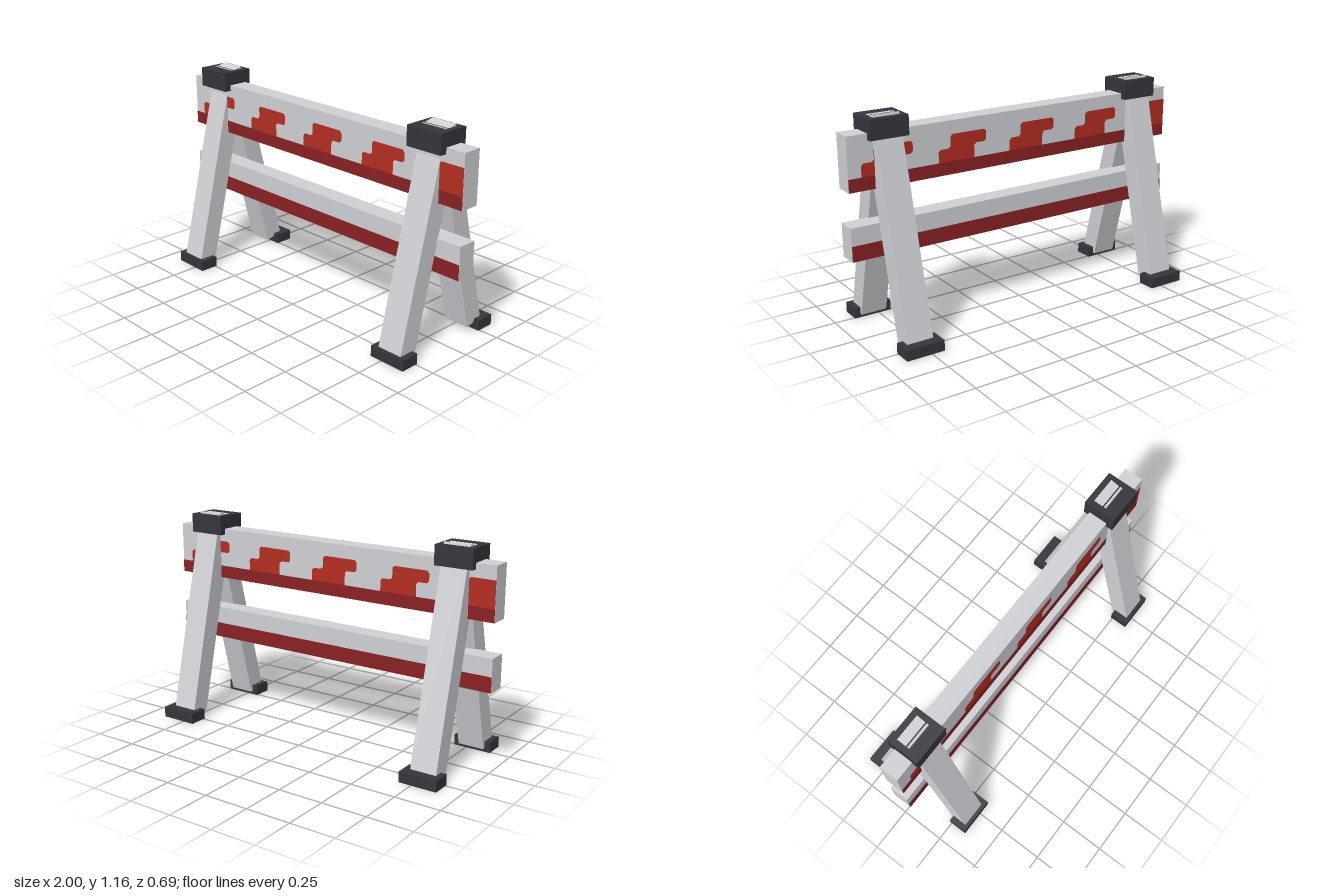
import * as THREE from 'three';

const mat = (name, color) => {
  const m = new THREE.MeshStandardMaterial({ color });
  m.name = name;
  return m;
};

export function createModel() {
  const grey = mat('light grey', 0xcfd1d5);
  const dark = mat('charcoal', 0x36353c);
  const deepRed = mat('deep red', 0x8a2123);
  const red = mat('bright red', 0xb52d22);

  const model = new THREE.Group();
  model.name = 'barricade';

  const box = (name, size, pos, material, tilt = 0, parent = model) => {
    const mesh = new THREE.Mesh(new THREE.BoxGeometry(...size), material);
    mesh.name = name;
    mesh.position.set(...pos);
    mesh.rotation.x = tilt;
    parent.add(mesh);
    return mesh;
  };

  // Trestles: two leaning legs, a foot under each, a cap on top
  const lean = THREE.MathUtils.degToRad(14);
  for (const side of [-1, 1]) {
    const trestle = new THREE.Group();
    trestle.name = side > 0 ? 'leftTrestle' : 'rightTrestle';
    trestle.position.x = side * 0.785;
    model.add(trestle);
    box('frontLeg', [0.145, 1.138, 0.105], [0, 0.583, 0.141], grey, -lean, trestle);
    box('backLeg', [0.145, 1.138, 0.106], [0, 0.592, -0.102], grey, lean, trestle);
    box('frontFoot', [0.21, 0.058, 0.105], [0, 0.029, 0.293], dark, 0, trestle);
    box('backFoot', [0.21, 0.058, 0.105], [0, 0.029, -0.293], dark, 0, trestle);
    box('cap', [0.21, 0.105, 0.178], [0, 1.092, 0.038], dark, 0, trestle);
  }

  // Planks
  const midZ = 0.036, depth = 0.106;
  box('upperPlank', [2, 0.283, depth], [0, 0.93, midZ], grey);
  box('lowerPlank', [2, 0.178, depth], [0, 0.52, midZ], grey);

  // Stepped warning patch with clipped corners, cut off at the plank end
  const patchShape = (x) => {
    const c = 0.012;
    const pts = [
      [0, 0.858], [0.21, 0.858], [0.21, 0.935 - c], [0.21 + c, 0.935],
      [0.283 - c, 0.935], [0.283, 0.935 + c], [0.283, 1 - c], [0.283 - c, 1],
      [0.07 + c, 1], [0.07, 1 - c], [0.07, 0.927 + c], [0.07 - c, 0.927],
      [c, 0.927], [0, 0.927 - c],
    ];
    return new THREE.Shape(pts.map(([px, py]) => new THREE.Vector2(Math.min(x + px, 1), py)));
  };
  const endPatch = (x) => new THREE.Shape([
    [x, 0.858], [1, 0.858], [1, 1], [x + 0.082, 1], [x + 0.07, 0.988],
    [x + 0.07, 0.927], [x + 0.012, 0.927], [x, 0.915],
  ].map(([px, py]) => new THREE.Vector2(px, py)));
  const band = (y0, y1) => new THREE.Shape([[-1, y0], [1, y0], [1, y1], [-1, y1]]
    .map(([px, py]) => new THREE.Vector2(px, py)));

  const patches = [-0.93, -0.502, -0.073, 0.356].map(patchShape);
  patches.push(endPatch(0.785));

  // The same paint on both faces, turned half round for the back
  for (const face of ['front', 'back']) {
    const paint = new THREE.Group();
    paint.name = face + 'Paint';
    paint.position.z = midZ;
    paint.rotation.y = face === 'front' ? 0 : Math.PI;
    const add = (name, shapes, material) => {
      const mesh = new THREE.Mesh(new THREE.ShapeGeometry(shapes), material);
      mesh.name = name;
      mesh.position.z = depth / 2 + 0.002;
      paint.add(mesh);
    };
    add('warningPatches', patches, red);
    add('upperBand', band(0.789, 0.858), deepRed);
    add('lowerBand', band(0.432, 0.515), deepRed);
    model.add(paint);
  }

  return model;
}
